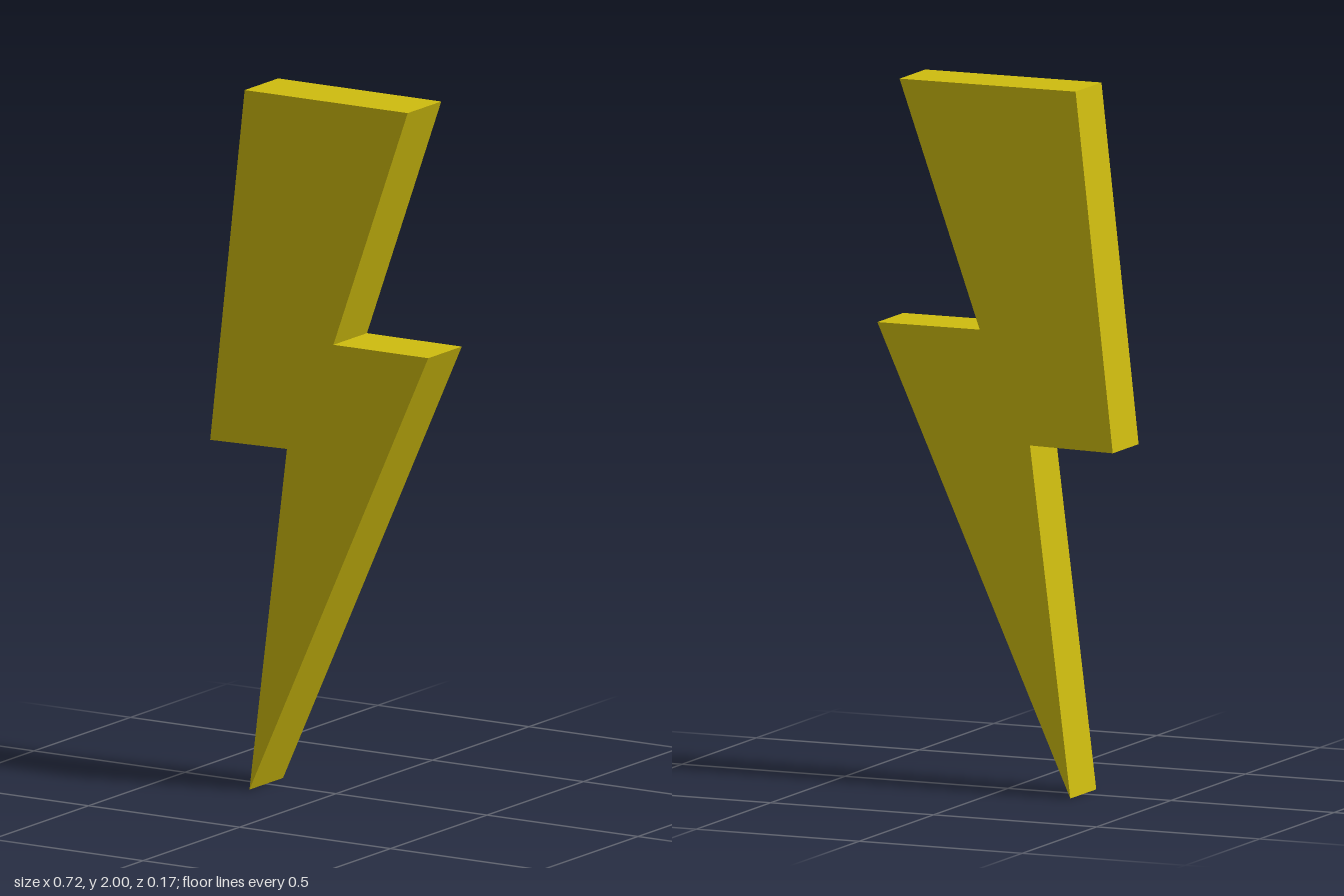
import * as THREE from 'three';

export function createModel() {
  const model = new THREE.Group();
  model.name = 'lightningBolt';

  // Zigzag outline, counter-clockwise from the bottom tip
  const outline = [
    [-0.231, 0], [0.361, 1.307], [0.047, 1.307], [0.293, 2],
    [-0.247, 2], [-0.361, 0.985], [-0.107, 0.99],
  ].map(([x, y]) => new THREE.Vector2(x, y));

  // Flat slab with sharp edges, centred in depth
  const depth = 0.174;
  const geometry = new THREE.ExtrudeGeometry(new THREE.Shape(outline), {
    depth, bevelEnabled: false,
  });
  geometry.translate(0, 0, -depth / 2);

  const bolt = new THREE.Mesh(
    geometry,
    new THREE.MeshStandardMaterial({ color: 0xcfbc0f, flatShading: true }),
  );
  bolt.name = 'bolt';
  model.add(bolt);
  return model;
}
